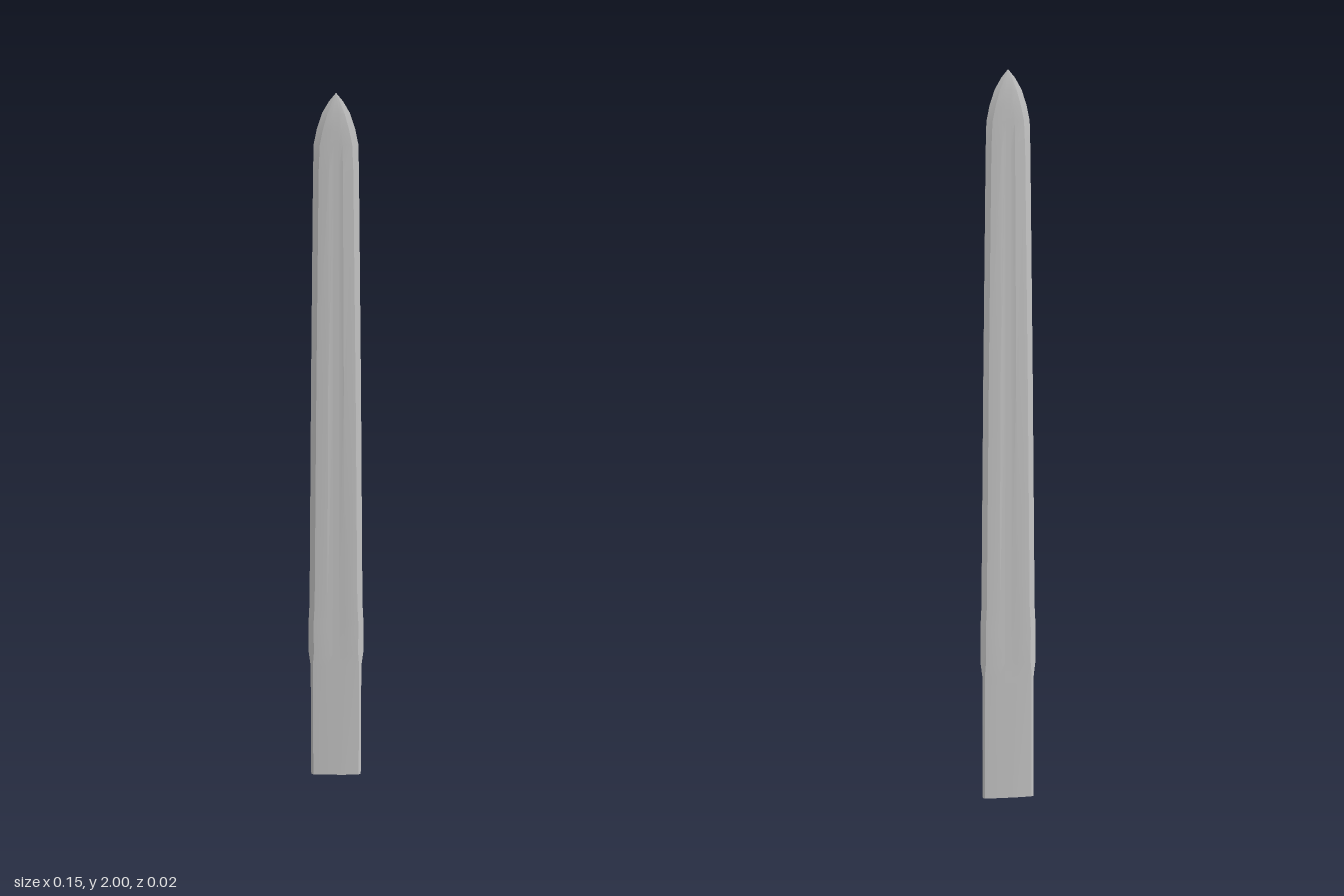
import * as THREE from 'three';
import { toCreasedNormals } from 'three/addons/utils/BufferGeometryUtils.js';

// Stations up the blade: height, half width, half thickness, half edge thickness, bevel width, fuller depth
const STATIONS = [
  [0, 0.07, 0.008, 0.003, 0.006, 0],
  [0.36, 0.07, 0.008, 0.003, 0.006, 0],
  [0.4, 0.075, 0.009, 0.0004, 0.014, 0.002],
  [0.5, 0.075, 0.009, 0.0004, 0.014, 0.002],
  [0.56, 0.072, 0.009, 0.0004, 0.014, 0.002],
  [1.2, 0.065, 0.0085, 0.0004, 0.014, 0.002],
  [1.8, 0.057, 0.008, 0.0004, 0.014, 0.0015],
  [1.87, 0.055, 0.008, 0.0004, 0.015, 0.001],
  [1.91, 0.047, 0.0075, 0.0004, 0.015, 0],
  [1.95, 0.034, 0.006, 0.0004, 0.013, 0],
  [1.98, 0.017, 0.0035, 0.0004, 0.008, 0],
  [2, 0.0008, 0.0004, 0.0003, 0.0003, 0],
];

// Closed cross-section: ground edges, flat faces and a shallow central fuller
function section([y, w, t, e, bevel, fuller]) {
  const flat = w - bevel;
  const half = [[w, e], [flat, t * 0.78], [flat * 0.4, t], [flat * 0.15, t - fuller]];
  const front = [...half, ...half.slice().reverse().map(([x, z]) => [-x, z])];
  const back = front.slice().reverse().map(([x, z]) => [x, -z]);
  return [...front, ...back].map(([x, z]) => [x, y, z]);
}

// Skin the sections and close both ends
function loft(rings) {
  const n = rings[0].length;
  const pos = rings.flat(2);
  const index = [];
  for (let r = 0; r < rings.length - 1; r++) {
    for (let i = 0; i < n; i++) {
      const a = r * n + i, b = r * n + (i + 1) % n;
      index.push(a, a + n, b, b, a + n, b + n);
    }
  }
  const bottom = pos.length / 3, top = bottom + 1, last = (rings.length - 1) * n;
  pos.push(0, rings[0][0][1], 0, 0, rings[rings.length - 1][0][1], 0);
  for (let i = 0; i < n; i++) {
    const j = (i + 1) % n;
    index.push(bottom, i, j, top, last + j, last + i);
  }
  const geo = new THREE.BufferGeometry();
  geo.setAttribute('position', new THREE.Float32BufferAttribute(pos, 3));
  geo.setIndex(index);
  return toCreasedNormals(geo, 0.2);
}

export function createModel() {
  const group = new THREE.Group();
  group.name = 'swordBlade';
  const blade = new THREE.Mesh(
    loft(STATIONS.map(section)),
    new THREE.MeshStandardMaterial({ color: 0xcccccc })
  );
  blade.name = 'blade';
  group.add(blade);
  return group;
}
